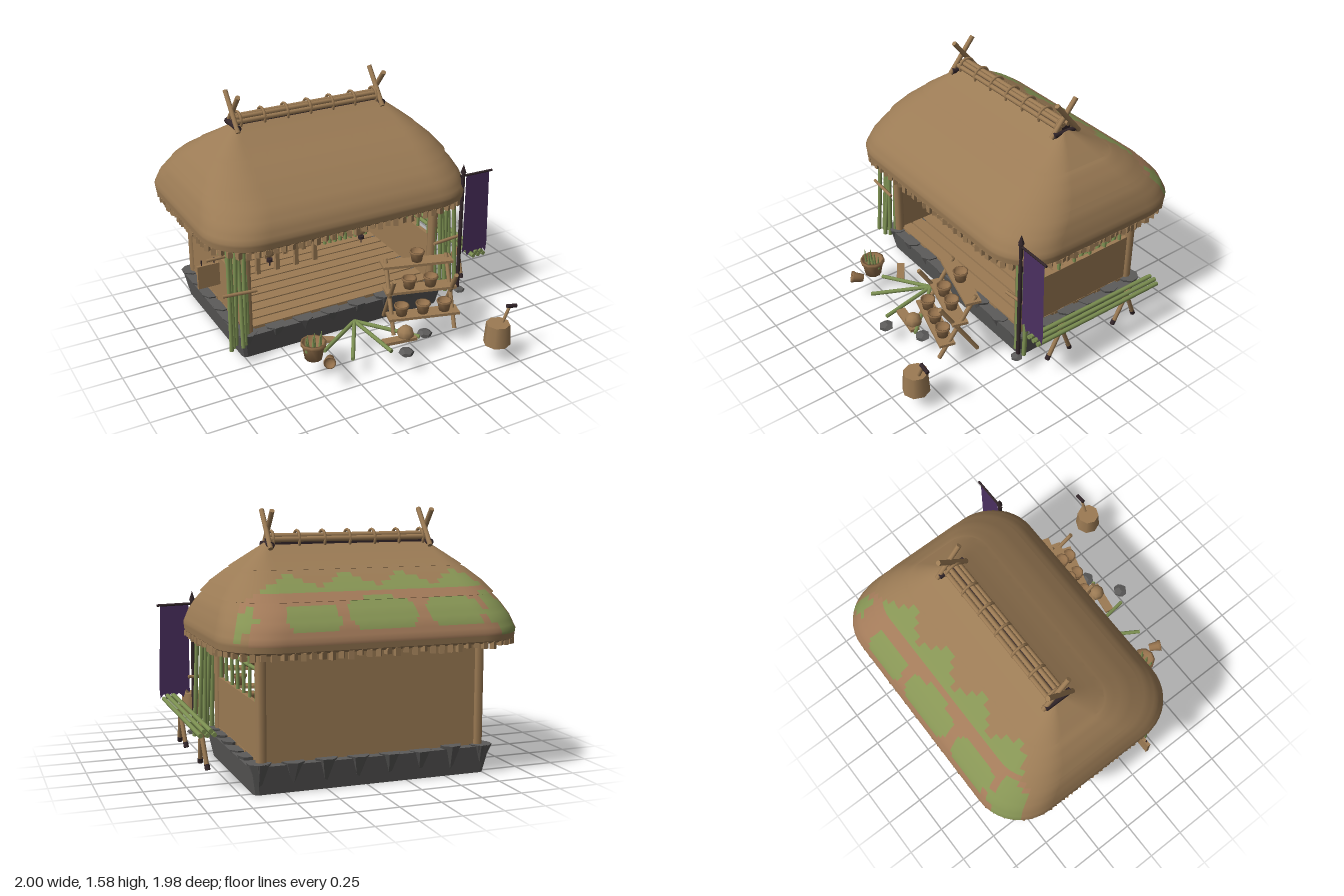
import * as THREE from 'three';
import { toCreasedNormals } from 'three/addons/utils/BufferGeometryUtils.js';

const V = (x, y, z) => new THREE.Vector3(x, y, z);

export function createModel() {
  const root = new THREE.Group();
  root.name = 'thatchedHut';
  const mat = (name, color, extra = {}) => Object.assign(new THREE.MeshStandardMaterial({ color }), { name }, extra);
  const wood = mat('wood', 0x9c7b54), thatch = mat('thatch', 0x9b7b55), aged = mat('agedThatch', 0xa27a59);
  const moss = mat('moss', 0x869454), bamboo = mat('bamboo', 0x7d9152), stone = mat('stone', 0x5c5b5a);
  const dark = mat('darkBinding', 0x33262a), purple = mat('purpleCloth', 0x4b2f60, { side: THREE.DoubleSide });
  const clay = mat('clay', 0x94714c, { side: THREE.DoubleSide });
  let seed = 7;
  const rnd = () => (seed = (seed * 16807) % 2147483647) / 2147483647;

  const add = (name, geo, m, x = 0, y = 0, z = 0, parent = root) => {
    const mesh = new THREE.Mesh(geo, m);
    mesh.name = name;
    mesh.position.set(x, y, z);
    parent.add(mesh);
    return mesh;
  };
  const box = (name, m, w, h, d, x, y, z, parent) => add(name, new THREE.BoxGeometry(w, h, d), m, x, y, z, parent);
  const rod = (name, m, r, a, b, parent = root, r2 = r) => {
    const dir = b.clone().sub(a), mid = a.clone().add(b).multiplyScalar(0.5);
    const mesh = add(name, new THREE.CylinderGeometry(r2, r, dir.length(), 8), m, mid.x, mid.y, mid.z, parent);
    mesh.quaternion.setFromUnitVectors(V(0, 1, 0), dir.normalize());
    return mesh;
  };

  // Points around a rounded rectangle
  const ring = (hx, hz, r, arcN, edgeN) => {
    const pts = [];
    [[1, 1], [-1, 1], [-1, -1], [1, -1]].forEach(([sx, sz], k) => {
      const cx = sx * (hx - r), cz = sz * (hz - r);
      for (let i = 0; i <= arcN; i++) {
        const a = (k + i / arcN) * Math.PI / 2;
        pts.push([cx + r * Math.cos(a), cz + r * Math.sin(a)]);
      }
      const [px, pz] = pts[pts.length - 1];
      const ex = k === 0 ? -(hx - r) : k === 2 ? hx - r : px, ez = k === 1 ? -(hz - r) : k === 3 ? hz - r : pz;
      for (let i = 1; i < edgeN; i++) pts.push([px + (ex - px) * i / edgeN, pz + (ez - pz) * i / edgeN]);
    });
    return pts;
  };
  // Skin through rows of [y, halfX, halfZ, radius]; pick(x, y, z) chooses the material index
  const loft = (rows, cx, cz, arcN, edgeN, sub, pick = () => 0) => {
    const pos = [], sets = [[], [], []], levels = [];
    rows.forEach((row, j) => {
      if (j === rows.length - 1) return levels.push(row);
      for (let s = 0; s < sub; s++) levels.push(row.map((v, k) => v + (rows[j + 1][k] - v) * s / sub));
    });
    const n = ring(1, 1, 0.1, arcN, edgeN).length;
    levels.forEach(([y, hx, hz, r]) => ring(hx, hz, r, arcN, edgeN).forEach(p => pos.push(p[0] + cx, y, p[1] + cz)));
    for (let j = 0; j < levels.length - 1; j++) for (let i = 0; i < n; i++) {
      const a = j * n + i, b = j * n + (i + 1) % n, c = a + n, d = b + n;
      const mid = k => (pos[a * 3 + k] + pos[b * 3 + k] + pos[c * 3 + k] + pos[d * 3 + k]) / 4;
      sets[pick(mid(0), mid(1), mid(2))].push(a, c, b, b, c, d);
    }
    const g = new THREE.BufferGeometry();
    g.setAttribute('position', new THREE.Float32BufferAttribute(pos, 3));
    g.setIndex(sets.flat());
    let start = 0;
    sets.forEach((s, k) => { if (s.length) g.addGroup(start, s.length, k); start += s.length; });
    return toCreasedNormals(g, 0.7);
  };

  // Roof in three overlapping thatch layers, with moss on the back slope
  const patches = [[-0.79, -0.87, 0.1, 0.1], [-0.49, -0.905, 0.17, 0.07], [-0.045, -0.9, 0.2, 0.075],
    [0.375, -0.91, 0.155, 0.065], [0.74, -0.84, 0.06, 0.06]];
  const pickRoof = (x, y, z) => {
    if (y < 0.86 || z > -0.6) return 0;
    if (patches.some(([px, pz, w, d]) => ((x - px) / w) ** 4 + ((z - pz) / d) ** 4 < 1)) return 2;
    if (x > -0.73 && x < 0.63 && z > -0.77 && z < -0.68 + 0.05 * Math.sin(x * 18)) return 2;
    return z < -0.74 && Math.abs(x + 0.05) < 0.8 ? 1 : 0;
  };
  const roofRows = [[0.86, 0.03, 0.02], [0.85, 0.72, 0.47], [0.83, 0.86, 0.61], [0.815, 0.895, 0.645], [0.83, 0.913, 0.663],
    [0.88, 0.918, 0.668], [0.96, 0.893, 0.632], [1.03, 0.862, 0.57], [1.08, 0.828, 0.505], [1.083, 0.842, 0.517],
    [1.15, 0.79, 0.42], [1.22, 0.715, 0.295], [1.237, 0.685, 0.26], [1.239, 0.698, 0.272], [1.3, 0.62, 0.16],
    [1.36, 0.54, 0.06], [1.385, 0.51, 0.025]].map(r => [...r, Math.min(0.3, r[2] * 0.55)]);
  add('thatchRoof', loft(roofRows, -0.045, -0.325, 10, 50, 3, pickRoof), [thatch, aged, moss]);

  // Ragged straw fringe under the eaves
  ring(0.895, 0.645, 0.29, 8, 22).forEach(([x, z]) => {
    const h = 0.025 + rnd() * 0.025;
    box('fringeTuft', thatch, 0.03, h, 0.03, x - 0.045, 0.825 - h / 2, z - 0.325).rotation.y = rnd() * 3;
  });

  // Ridge: dark core, poles, binding rings and crossed end poles
  box('ridgeCore', dark, 1.02, 0.05, 0.08, -0.05, 1.385, -0.33);
  [[-0.045, 1.4], [-0.018, 1.418], [0.018, 1.418], [0.045, 1.4]].forEach(([z, y]) =>
    rod('ridgePole', wood, 0.016, V(-0.56, y, z - 0.33), V(0.46, y, z - 0.33)));
  for (let i = 0; i < 7; i++)
    add('ridgeRing', new THREE.TorusGeometry(0.055, 0.009, 6, 16), wood, -0.53 + i * 0.16, 1.395, -0.33).rotation.y = Math.PI / 2;
  for (const x of [-0.565, 0.455]) {
    for (const s of [-1, 1]) rod('crossedPole', wood, 0.016, V(x + s * 0.008, 1.35, -0.33 - s * 0.1), V(x + s * 0.008, 1.57, -0.33 + s * 0.08));
    rod('crossBinding', dark, 0.02, V(x, 1.37, -0.42), V(x, 1.37, -0.24));
  }

  // Stone foundation with pointed stones set around the rim
  add('foundation', loft([[0, 0.02, 0.02, 0.01], [0, 0.72, 0.47, 0.03], [0.17, 0.755, 0.505, 0.04], [0.17, 0.02, 0.02, 0.01]],
    -0.04, -0.32, 2, 1, 1), stone);
  const rimStone = (x, z) => {
    const g = new THREE.CylinderGeometry(0.07, 0.006, 0.14 + rnd() * 0.03, 7);
    add('rimStone', g.toNonIndexed(), stoneFlat, x, 0.105, z).rotation.y = rnd() * 3;
  };
  const stoneFlat = stone;
  stone.flatShading = true;
  for (let i = 0; i < 8; i++) for (const z of [0.135, -0.785]) rimStone(-0.73 + i * 0.197, z);
  for (let i = 1; i < 6; i++) for (const x of [-0.735, 0.655]) rimStone(x, 0.135 - i * 0.184);

  // Floor boards, walls, posts and window bars
  for (let i = 0; i < 10; i++) box('floorBoard', wood, 1.38, 0.025, 0.078, -0.04, 0.178, 0.08 - i * 0.09);
  box('backWall', wood, 1.36, 0.66, 0.025, -0.04, 0.51, -0.775);
  for (let i = 0; i < 11; i++) box('wallBatten', wood, 0.012, 0.64, 0.012, -0.63 + i * 0.125, 0.51, -0.758);
  for (const x of [-0.715, 0.635]) {
    box('sideWall', wood, 0.025, 0.34, 0.92, x, 0.345, -0.32);
    for (const z of [-0.775, 0.13]) rod('cornerPost', wood, 0.033, V(x, 0.15, z), V(x, 0.86, z));
    rod('windowRail', bamboo, 0.012, V(x, 0.7, 0.14), V(x, 0.7, -0.76));
    for (let i = 0; i < 7; i++) {
      const z = 0.08 - i * 0.128;
      rod('windowBar', bamboo, 0.011, V(x, 0.5, z), V(x, 0.86, z + (rnd() - 0.5) * 0.03));
    }
  }

  // Bamboo bundles at the front corners
  for (const s of [-1, 1]) {
    for (let i = 0; i < 6; i++) {
      const x = -0.04 + s * (0.68 + i * 0.026);
      rod('cornerBamboo', bamboo, 0.014, V(x + s * 0.012, 0.12, 0.16 + (i % 3) * 0.025), V(x - s * 0.008, 0.86, 0.14 + (i % 2) * 0.03));
    }
    rod('cornerTie', wood, 0.011, V(-0.04 + s * 0.64, 0.5, 0.21), V(-0.04 + s * 0.86, 0.51, 0.2));
  }

  // Bamboo stored along the back wall and a hanging rack
  for (let i = 0; i < 9; i++) rod('leaningBamboo', bamboo, 0.014, V(0.24 + i * 0.042, 0.19, -0.66), V(0.27 + i * 0.042 + (rnd() - 0.5) * 0.06, 0.85, -0.73));
  rod('rackBar', wood, 0.012, V(-0.63, 0.77, -0.7), V(-0.19, 0.77, -0.7));
  for (let i = 0; i < 7; i++) rod('rackBamboo', bamboo, 0.01, V(-0.5 + i * 0.042, 0.5, -0.7), V(-0.49 + i * 0.042, 0.77, -0.7));

  // Pots
  const pot = (name, r, h, x, y, z, parent = root) => add(name, new THREE.LatheGeometry(
    [[0, 0], [0.72, 0], [0.92, 0.78], [1.06, 0.8], [1.06, 1], [0.88, 1], [0.75, 0.6], [0, 0.6]].map(p => new THREE.Vector2(p[0] * r, p[1] * h)), 10),
    clay, x, y, z, parent);

  // Work table with a basket of blades
  box('tableTop', wood, 0.64, 0.025, 0.22, -0.22, 0.475, -0.58);
  for (let i = 0; i < 5; i++) for (const z of [-0.67, -0.49]) box('tableLeg', wood, 0.03, 0.28, 0.03, -0.51 + i * 0.145, 0.33, z);
  pot('bladeBasket', 0.07, 0.07, -0.32, 0.49, -0.58);
  for (let i = 0; i < 6; i++) {
    const a = i * Math.PI / 3, c = Math.cos(a), s = Math.sin(a);
    rod('basketBlade', wood, 0.012, V(-0.32 + c * 0.04, 0.53, -0.58 + s * 0.04), V(-0.32 + c * 0.09, 0.67, -0.58 + s * 0.09), root, 0.003);
  }

  // Lanterns and pots hanging under the front eave
  for (const x of [-0.53, 0.12]) {
    rod('lanternCord', dark, 0.004, V(x, 0.57, 0.08), V(x, 0.85, 0.08));
    add('lantern', new THREE.SphereGeometry(0.034, 10, 8), wood, x, 0.675, 0.08).scale.y = 1.35;
    for (const y of [0.61, 0.735]) rod('lanternCap', dark, 0.02, V(x, y - 0.01, 0.08), V(x, y + 0.01, 0.08));
  }
  for (const x of [-0.21, 0.44]) {
    pot('hangingPot', 0.042, 0.07, x, 0.665, 0.06);
    for (const s of [-1, 1]) rod('potCord', wood, 0.004, V(x + s * 0.04, 0.72, 0.06), V(x, 0.85, 0.06));
  }

  // Tiered pot stand, turned slightly
  const stand = new THREE.Group();
  stand.name = 'potStand';
  stand.position.set(0.335, 0, 0.46);
  stand.rotation.y = -0.28;
  root.add(stand);
  [[0.23, 0.085, 3], [0.37, 0, 2], [0.51, -0.085, 1]].forEach(([y, z, n]) => {
    box('standShelf', wood, 0.46, 0.018, 0.1, 0, y, z, stand);
    for (let i = 0; i < n; i++) pot('standPot', 0.046, 0.07, (i - (n - 1) / 2) * 0.14, y + 0.009, z, stand);
  });
  for (const x of [-0.2, 0.2]) {
    rod('standLeg', wood, 0.014, V(x, 0.12, 0.13), V(x, 0.54, -0.11), stand);
    rod('standLeg', wood, 0.014, V(x, 0.12, -0.12), V(x, 0.5, 0.12), stand);
  }

  // Banner on a dark pole
  rod('bannerPole', dark, 0.013, V(0.775, 0.14, 0.25), V(0.775, 1.0, 0.25));
  add('poleTip', new THREE.ConeGeometry(0.02, 0.06, 6), dark, 0.775, 1.02, 0.25);
  rod('bannerBar', dark, 0.008, V(0.755, 0.97, 0.25), V(1, 0.965, 0.25));
  const cloth = new THREE.Shape([[0.8, 0.965], [0.8, 0.4], [0.825, 0.42], [0.84, 0.37], [0.87, 0.4], [0.895, 0.38], [0.92, 0.4],
    [0.95, 0.36], [0.965, 0.4], [0.99, 0.37], [0.995, 0.44], [0.98, 0.965]].map(p => new THREE.Vector2(...p)));
  add('banner', new THREE.ShapeGeometry(cloth), purple, 0, 0, 0.25);

  // Bamboo stack resting on crossed legs at the left side
  for (let i = 0; i < 5; i++) rod('stackedBamboo', bamboo, 0.014, V(0.885 + i * 0.02, 0.365 + (i % 2) * 0.022, 0.265), V(0.885 + i * 0.02, 0.35 + (i % 2) * 0.022, -0.72));
  for (const z of [0.03, -0.51]) for (const s of [-1, 1]) {
    rod('trestleLeg', wood, 0.014, V(0.9, 0.13, z + s * 0.085), V(0.915, 0.37, z - s * 0.015));
    rod('trestleFoot', dark, 0.016, V(0.898, 0.12, z + s * 0.09), V(0.9, 0.15, z + s * 0.077));
  }

  // Hanging sign board at the right side
  rod('signArm', wood, 0.01, V(-0.94, 0.7, 0.065), V(-0.72, 0.7, 0.065));
  box('signBoard', wood, 0.14, 0.15, 0.02, -0.93, 0.6, 0.065);
  for (const x of [-0.97, -0.89]) rod('signCord', dark, 0.004, V(x, 0.67, 0.065), V(x, 0.71, 0.065));

  // Yard: fanned bamboo, planks, planter, jars and rocks
  [[-0.37, 0.5], [-0.26, 0.66], [-0.01, 0.7], [0.23, 0.64]].forEach(([x, z]) =>
    rod('fannedBamboo', bamboo, 0.013, V(-0.06, 0.16, 0.32), V(x, 0.135, z)));
  box('loosePlank', wood, 0.17, 0.02, 0.05, -0.33, 0.14, 0.38).rotation.y = -0.6;
  box('loosePlank', wood, 0.22, 0.02, 0.06, 0.1, 0.135, 0.61).rotation.y = -0.15;
  add('strawHeap', new THREE.SphereGeometry(0.055, 8, 6), wood, 0.15, 0.16, 0.6);
  pot('planter', 0.076, 0.115, -0.455, 0.125, 0.52);
  for (let i = 0; i < 6; i++) rod('shoot', bamboo, 0.012, V(-0.51 + i * 0.022, 0.19, 0.54 - (i % 2) * 0.03), V(-0.515 + i * 0.024, 0.29, 0.54 - (i % 2) * 0.03), root, 0.002);
  pot('fallenJar', 0.036, 0.08, -0.4, 0.165, 0.63).rotation.set(1.3, 0, 0.5);
  [[0.28, 0.62, 0.05], [0.065, 0.75, 0.05], [0.78, 0.265, 0.04]].forEach(([x, z, r]) =>
    add('rock', new THREE.DodecahedronGeometry(r), stone, x, 0.135, z).scale.y = 0.45);

  // Chopping stump with a tool stuck in it
  rod('stump', wood, 0.085, V(0.63, 0.12, 0.905), V(0.63, 0.26, 0.905), root, 0.075);
  rod('toolHandle', wood, 0.01, V(0.66, 0.25, 0.905), V(0.71, 0.36, 0.905));
  rod('toolHead', dark, 0.013, V(0.69, 0.365, 0.905), V(0.76, 0.35, 0.905));
  return root;
}
